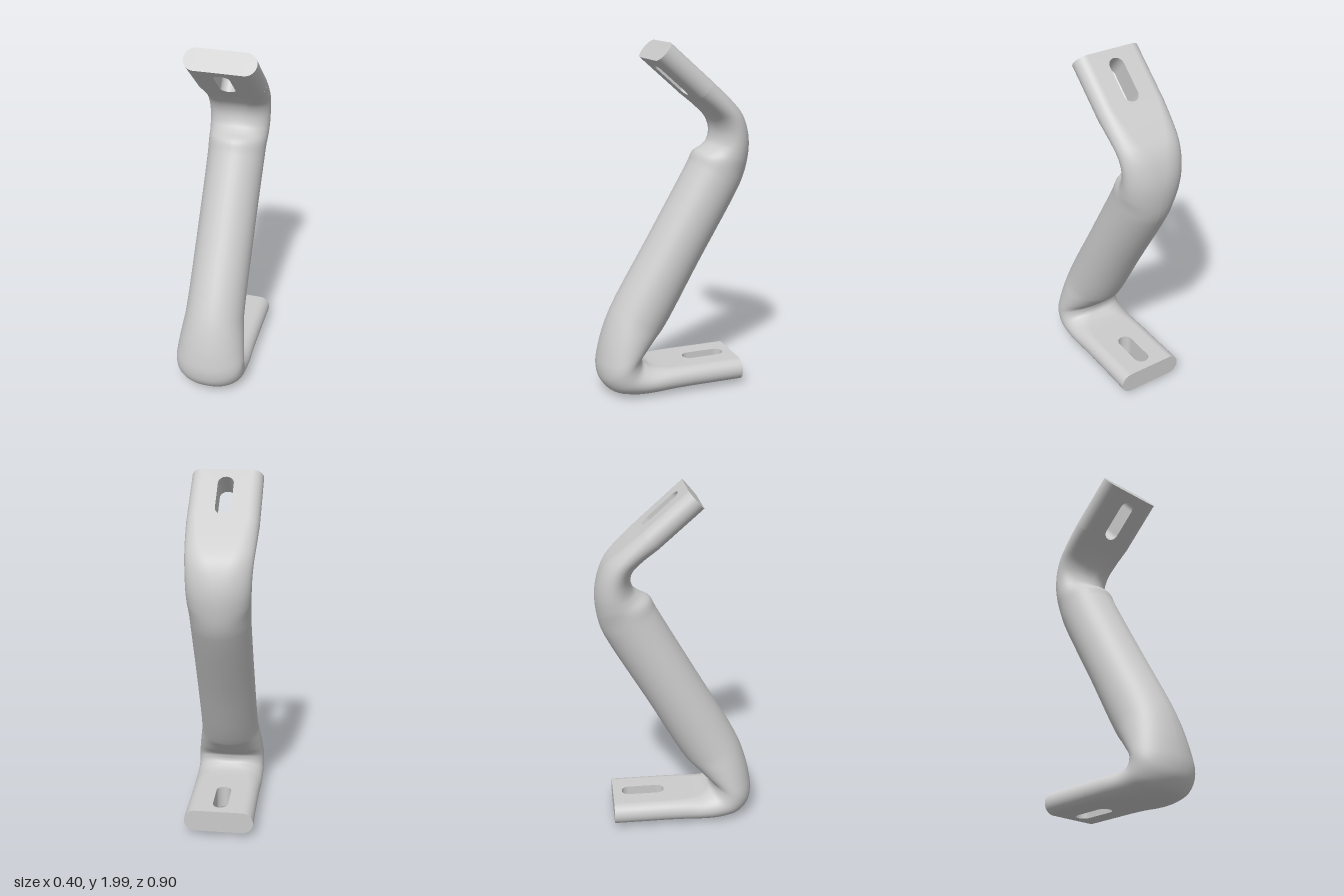
import * as THREE from 'three';

const material = new THREE.MeshStandardMaterial({ color: 0xcccccc });
const plate = { halfWidth: 0.196, thickness: 0.125, length: 0.32 };

// Stations along the bar: front/outer z, y, back/inner z, y, half width, flatness (0 oval, 1 stadium)
const stations = [
  [-0.06, 0.03, -0.06, 0.155, 0.196, 1],
  [0.05, 0.025, 0.05, 0.156, 0.197, 0.95],
  [0.15, 0.012, 0.14, 0.162, 0.2, 0.75],
  [0.27, 0.006, 0.18, 0.18, 0.2, 0.5],
  [0.38, 0.03, 0.197, 0.2, 0.2, 0.25],
  [0.435, 0.09, 0.197, 0.225, 0.2, 0.1],
  [0.45, 0.16, 0.185, 0.25, 0.2, 0],
  [0.44, 0.25, 0.15, 0.28, 0.194, 0],
  [0.41, 0.37, 0.105, 0.325, 0.183, 0],
  [0.355, 0.51, 0.06, 0.37, 0.17, 0],
  [0.125, 0.91, -0.157, 0.747, 0.164, 0],
  [-0.11, 1.32, -0.4, 1.17, 0.164, 0],
  [-0.145, 1.385, -0.428, 1.24, 0.166, 0],
  [-0.2, 1.412, -0.443, 1.31, 0.17, 0],
  [-0.235, 1.44, -0.45, 1.4, 0.173, 0.1],
  [-0.252, 1.5, -0.435, 1.5, 0.176, 0.3],
  [-0.237, 1.56, -0.398, 1.59, 0.181, 0.5],
  [-0.19, 1.62, -0.32, 1.675, 0.188, 0.8],
  [-0.108, 1.694, -0.19, 1.788, 0.196, 1],
];

// Bent bar: round in the shaft, flattened towards both ends
function bentBar() {
  const front = new THREE.CatmullRomCurve3(stations.map((s) => new THREE.Vector3(s[4], s[1], s[0])));
  const back = new THREE.CatmullRomCurve3(stations.map((s) => new THREE.Vector3(s[5], s[3], s[2])));
  const rows = (stations.length - 1) * 5;
  const half = 24;
  const ring = 2 * (half + 1);
  const positions = [];
  const index = [];
  for (let i = 0; i <= rows; i++) {
    const a = front.getPoint(i / rows);
    const b = back.getPoint(i / rows);
    const width = a.x;
    const flat = THREE.MathUtils.clamp(b.x, 0, 1);
    const t = Math.hypot(a.y - b.y, a.z - b.z) / 2;
    const r = width - flat * Math.max(0, width - t);
    for (const side of [1, -1]) {
      for (let j = 0; j <= half; j++) {
        const angle = (-0.5 + j / half) * Math.PI;
        const k = side * Math.sin(angle);
        positions.push(
          side * (width - r + 0.0005 + r * Math.cos(angle)),
          (a.y + b.y) / 2 + ((a.y - b.y) / 2) * k,
          (a.z + b.z) / 2 + ((a.z - b.z) / 2) * k,
        );
      }
    }
    if (i === rows) break;
    for (let j = 0; j < ring; j++) {
      const p = i * ring + j;
      const q = i * ring + ((j + 1) % ring);
      index.push(p, p + ring, q, q, p + ring, q + ring);
    }
  }
  const geometry = new THREE.BufferGeometry();
  geometry.setAttribute('position', new THREE.Float32BufferAttribute(positions, 3));
  geometry.setIndex(index);
  geometry.computeVertexNormals();
  const mesh = new THREE.Mesh(geometry, material);
  mesh.name = 'bentBar';
  return mesh;
}

// Flat end with rounded sides and a slot; local y runs inwards from the end face
function slottedEnd(name) {
  const group = new THREE.Group();
  group.name = name;
  const r = plate.thickness / 2;
  const x = plate.halfWidth - r;
  const L = plate.length;
  const shape = new THREE.Shape();
  shape.moveTo(-x, 0);
  shape.lineTo(x, 0);
  shape.lineTo(x, L);
  shape.lineTo(-x, L);
  shape.closePath();

  const slotRadius = 0.043;
  const slot = new THREE.Path();
  slot.absarc(0, 0.306 - slotRadius, slotRadius, 0, Math.PI, false);
  slot.absarc(0, 0.053 + slotRadius, slotRadius, Math.PI, 2 * Math.PI, false);
  slot.closePath();
  shape.holes.push(slot);

  const web = new THREE.ExtrudeGeometry(shape, {
    depth: plate.thickness, bevelEnabled: false, curveSegments: 16,
  });
  web.translate(0, 0, -r);
  const webMesh = new THREE.Mesh(web, material);
  webMesh.name = name + 'Web';
  group.add(webMesh);

  for (const side of [1, -1]) {
    const start = side > 0 ? 0 : Math.PI;
    const edge = new THREE.CylinderGeometry(r, r, L, 24, 1, false, start, Math.PI);
    edge.translate(side * x, L / 2, 0);
    const mesh = new THREE.Mesh(edge, material);
    mesh.name = name + (side > 0 ? 'LeftEdge' : 'RightEdge');
    group.add(mesh);
  }
  return group;
}

export function createModel() {
  const model = new THREE.Group();
  model.name = 'bentBracket';
  model.add(bentBar());

  // Horizontal foot
  const foot = slottedEnd('foot');
  foot.position.set(0, 0.0925, -0.38);
  foot.rotation.x = Math.PI / 2;
  model.add(foot);

  // Sloping upper tab
  const tab = slottedEnd('upperTab');
  tab.position.set(0, 1.952, 0.091);
  tab.rotation.x = Math.atan2(-0.75, -0.66);
  model.add(tab);
  return model;
}
